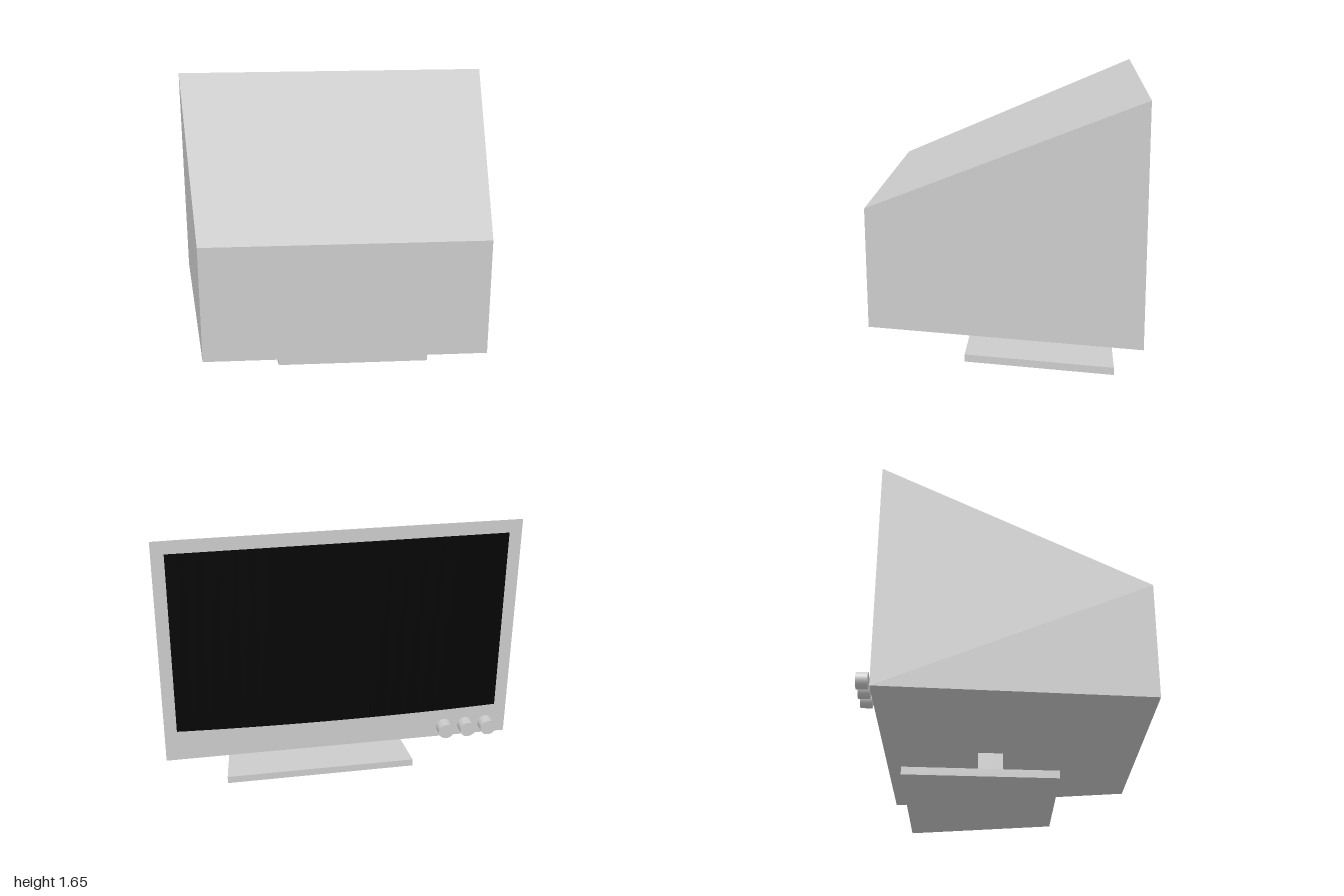
import * as THREE from 'three';

const grey = new THREE.MeshStandardMaterial({ color: 0xcccccc });
const black = new THREE.MeshStandardMaterial({ color: 0x050505 });

// Six-sided block between a back and a front rectangle: { x: [min, max], y: [min, max], z }
function taperedBlock(name, back, front) {
  const geo = new THREE.BoxGeometry(1, 1, 1);
  const p = geo.attributes.position;
  for (let i = 0; i < p.count; i++) {
    const end = p.getZ(i) > 0 ? front : back;
    p.setXYZ(i, end.x[p.getX(i) > 0 ? 1 : 0], end.y[p.getY(i) > 0 ? 1 : 0], end.z);
  }
  geo.computeVertexNormals();
  const mesh = new THREE.Mesh(geo, grey);
  mesh.name = name;
  return mesh;
}

// Thin pane whose outer face bulges gently towards -z
function bulgedScreen() {
  const halfWidth = 0.93, bulge = 0.027, backZ = -0.725;
  const geo = new THREE.BoxGeometry(halfWidth * 2, 1.09, 1, 20, 1, 1);
  const p = geo.attributes.position;
  for (let i = 0; i < p.count; i++) {
    const t = p.getX(i) / halfWidth;
    p.setZ(i, p.getZ(i) < 0 ? backZ - 0.001 - bulge * (1 - t * t) : backZ + 0.005);
  }
  geo.translate(0, 1.035, 0);
  geo.computeVertexNormals();
  const mesh = new THREE.Mesh(geo, black);
  mesh.name = 'screen';
  return mesh;
}

export function createModel() {
  const model = new THREE.Group();
  model.name = 'monitor';

  // Housing: tall at the screen, tapering away from it
  model.add(taperedBlock('housing',
    { x: [-1, 1], y: [0.3, 1.655], z: -0.725 },
    { x: [-0.82, 0.8], y: [0.33, 1.02], z: 0.81 }));
  model.add(bulgedScreen());

  // Stand: short post on a slightly tilted, tapered plate
  model.add(taperedBlock('neck',
    { x: [-0.02, 0.13], y: [0.065, 0.305], z: -0.165 },
    { x: [-0.02, 0.13], y: [0.07, 0.305], z: -0.015 }));
  model.add(taperedBlock('base',
    { x: [-0.49, 0.65], y: [0, 0.045], z: -0.585 },
    { x: [-0.39, 0.54], y: [0.02, 0.065], z: 0.295 }));

  // Control knobs below the screen
  const knobGeo = new THREE.CylinderGeometry(0.046, 0.046, 0.065, 32).rotateX(Math.PI / 2);
  for (const x of [-0.875, -0.752, -0.624]) {
    const knob = new THREE.Mesh(knobGeo, grey);
    knob.name = 'knob';
    knob.position.set(x, 0.383, -0.778);
    model.add(knob);
  }
  return model;
}
